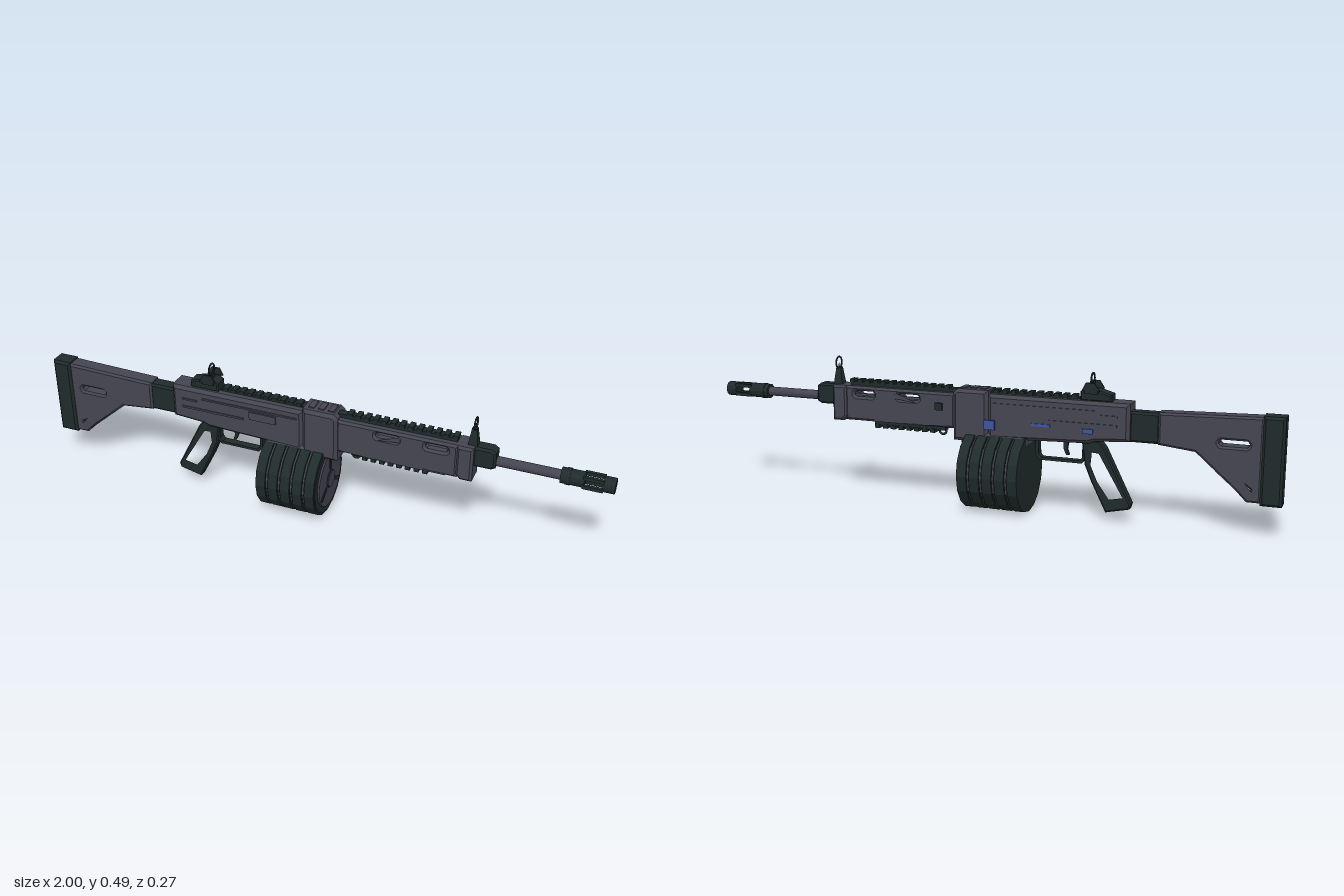
import * as THREE from 'three';

const mat = (name, color) => {
  const m = new THREE.MeshStandardMaterial({ color });
  m.name = name;
  return m;
};

export function createModel() {
  const model = new THREE.Group();
  const slate = mat('slate', 0x444551);
  const dark = mat('dark green grey', 0x202b2b);
  const blue = mat('blue metal', 0x3f549c);

  const add = (name, geo, m, x = 0, y = 0, z = 0) => {
    const mesh = new THREE.Mesh(geo, m);
    mesh.name = name;
    mesh.position.set(x, y, z);
    model.add(mesh);
    return mesh;
  };
  // Box given by its x and y limits, half depth and z centre
  const box = (name, m, x0, x1, y0, y1, hz, z = 0) =>
    add(name, new THREE.BoxGeometry(x1 - x0, y1 - y0, hz * 2), m, (x0 + x1) / 2, (y0 + y1) / 2, z);
  // Faceted cylinder lying along x
  const rod = (name, m, x0, x1, r0, r1, y, sides, turn = 0) => {
    const g = new THREE.CylinderGeometry(r1, r0, x1 - x0, sides).rotateY(turn).rotateZ(-Math.PI / 2).toNonIndexed();
    g.computeVertexNormals();
    return add(name, g, m, (x0 + x1) / 2, y);
  };
  // Side profile with optional holes, extruded through z with chamfered edges
  const plate = (name, m, pts, hz, bevel = 0, holes = [], z = 0) => {
    const toV = (list) => list.map(([x, y]) => new THREE.Vector2(x, y));
    const shape = new THREE.Shape(toV(pts));
    holes.forEach((h) => shape.holes.push(new THREE.Path(toV(h))));
    const g = new THREE.ExtrudeGeometry(shape, {
      depth: 2 * (hz - bevel), bevelEnabled: bevel > 0, bevelSize: bevel,
      bevelThickness: bevel, bevelOffset: -bevel, bevelSegments: 1,
    });
    g.translate(0, 0, bevel - hz);
    return add(name, g, m, 0, 0, z);
  };
  const rect = (x0, x1, y0, y1) => [[x0, y0], [x1, y0], [x1, y1], [x0, y1]];
  // Slot with pointed, clipped ends
  const slot = (x0, x1, y0, y1, c = 0.007) => [
    [x0 + c, y0], [x1 - c, y0], [x1, y0 + c], [x1, y1 - c],
    [x1 - c, y1], [x0 + c, y1], [x0, y1 - c], [x0, y0 + c]];

  // Stock
  plate('buttPad', dark, rect(-1, -0.932, 0.108, 0.393), 0.034, 0.008);
  plate('stock', slate, [
    [-0.935, 0.115], [-0.89, 0.115], [-0.855, 0.15], [-0.725, 0.262], [-0.605, 0.275],
    [-0.605, 0.38], [-0.935, 0.389]], 0.03, 0.007, [
    slot(-0.893, -0.797, 0.288, 0.309),
    [[-0.9, 0.143], [-0.873, 0.147], [-0.8, 0.208], [-0.81, 0.218], [-0.9, 0.158]]]);
  plate('stockNeck', dark, rect(-0.61, -0.51, 0.276, 0.376), 0.026, 0.007);

  // Receiver
  plate('receiver', slate, [
    [-0.515, 0.278], [-0.4, 0.27], [-0.38, 0.262], [-0.03, 0.25],
    [-0.03, 0.402], [-0.515, 0.402]], 0.043, 0.011);
  plate('receiverFront', slate, [
    [-0.165, 0.236], [0.095, 0.236], [0.095, 0.4], [0.08, 0.413],
    [-0.03, 0.413], [-0.03, 0.27], [-0.165, 0.27]], 0.046, 0.011);
  box('magazineNeck', dark, -0.13, 0.075, 0.225, 0.262, 0.016);
  box('portCover', slate, -0.222, -0.125, 0.333, 0.362, 0.007, 0.042);
  for (const s of [-1, 1]) {
    box('receiverRib', slate, -0.475, -0.245, 0.324, 0.331, 0.003, s * 0.044);
    box('receiverRib', slate, -0.4, -0.05, 0.368, 0.374, 0.003, s * 0.044);
    box('receiverRib', slate, -0.475, -0.42, 0.355, 0.361, 0.003, s * 0.044);
  }
  // Blue controls on the back side
  box('chargingStem', slate, -0.055, -0.032, 0.295, 0.31, 0.012, -0.05);
  box('chargingHandle', blue, -0.063, -0.025, 0.287, 0.319, 0.005, -0.063);
  box('boltStrip', blue, -0.25, -0.185, 0.307, 0.316, 0.004, -0.043);
  box('selector', blue, -0.395, -0.36, 0.296, 0.312, 0.004, -0.044);

  // Handguard with see-through slots
  const slots = [];
  for (const [x0, x1] of [[0.225, 0.305], [0.32, 0.38], [0.395, 0.47]])
    for (const y of [0.294, 0.333, 0.369]) slots.push(slot(x0, x1, y - 0.01, y + 0.01, 0.006));
  plate('handguard', slate, rect(0.09, 0.505, 0.274, 0.395), 0.039, 0.008, slots);
  plate('handguardCap', slate, [
    [0.5, 0.288], [0.515, 0.27], [0.555, 0.27], [0.555, 0.395], [0.5, 0.395]], 0.041, 0.008);
  const loop = add('slingLoop', new THREE.TorusGeometry(0.013, 0.004, 6, 12), dark, 0.15, 0.256, 0);
  loop.scale.z = 1.4;
  box('handguardPin', dark, 0.135, 0.16, 0.335, 0.36, 0.006, -0.042);

  // Toothed rails
  box('topRail', dark, -0.34, 0.495, 0.39, 0.408, 0.014);
  for (let x = -0.33; x < 0.49; x += 0.03) {
    if (x > -0.04 && x < 0.09) continue;
    box('topRailTooth', dark, x, x + 0.017, 0.404, 0.416, 0.017);
  }
  for (let i = 0; i < 3; i++) box('receiverTopTooth', slate, -0.015 + i * 0.035, 0.005 + i * 0.035, 0.41, 0.417, 0.022);
  box('lowerRail', dark, 0.135, 0.405, 0.258, 0.278, 0.013);
  for (let x = 0.175; x < 0.4; x += 0.03) box('lowerRailTooth', dark, x, x + 0.017, 0.248, 0.262, 0.016);

  // Gas block, barrel and muzzle
  plate('gasBlock', dark, [
    [0.55, 0.322], [0.61, 0.322], [0.625, 0.33], [0.625, 0.385], [0.61, 0.395], [0.55, 0.395]], 0.025, 0.007);
  rod('barrel', slate, 0.1, 0.86, 0.0165, 0.0165, 0.347, 12);
  rod('muzzleCollar', dark, 0.83, 0.905, 0.026, 0.026, 0.347, 12);
  rod('muzzleBand', dark, 0.845, 0.86, 0.028, 0.028, 0.347, 12);
  rod('muzzleTip', dark, 0.962, 1, 0.026, 0.026, 0.347, 12);
  rod('bore', slate, 0.995, 1.0005, 0.013, 0.013, 0.347, 12);
  for (const sy of [-1, 1]) for (const sz of [-1, 1])
    box('muzzleBar', dark, 0.9, 0.965, 0.347 + sy * 0.016 - 0.006, 0.347 + sy * 0.016 + 0.006, 0.006, sz * 0.016);

  // Sights: ring on a tapered base with a thin post
  const ring = (name, x) => add(name, new THREE.TorusGeometry(0.0205, 0.003, 6, 20).rotateY(Math.PI / 2), dark, x, 0.469, 0);
  const sightBase = new THREE.CylinderGeometry(0.012, 0.024, 0.065, 4, 1).rotateY(Math.PI / 4).toNonIndexed();
  sightBase.computeVertexNormals();
  add('frontSightBase', sightBase, dark, 0.545, 0.42, 0);
  ring('frontSightRing', 0.547);
  add('frontSightPost', new THREE.ConeGeometry(0.004, 0.03, 6), dark, 0.547, 0.458, 0);
  plate('rearSightBase', dark, [
    [-0.45, 0.4], [-0.345, 0.4], [-0.345, 0.43], [-0.36, 0.437], [-0.405, 0.437], [-0.45, 0.424]], 0.027, 0.005);
  for (const s of [-1, 1]) {
    plate('rearSightEar', dark, [
      [-0.412, 0.435], [-0.352, 0.435], [-0.365, 0.461], [-0.395, 0.461]], 0.003, 0, [], s * 0.031);
    box('rearSightArm', dark, -0.405, -0.36, 0.425, 0.438, 0.005, s * 0.029);
  }
  box('rearSightStem', dark, -0.388, -0.372, 0.43, 0.45, 0.008);
  ring('rearSightRing', -0.38);

  // Open grip, trigger and guard
  plate('grip', dark, [
    [-0.43, 0.245], [-0.41, 0.27], [-0.35, 0.27], [-0.362, 0.185], [-0.385, 0.13],
    [-0.435, 0.03], [-0.515, 0.048], [-0.52, 0.065]], 0.02, 0.005, [[
    [-0.413, 0.232], [-0.382, 0.235], [-0.378, 0.185], [-0.402, 0.13], [-0.445, 0.07], [-0.5, 0.083]]]);
  plate('triggerGuard', dark, [
    [-0.362, 0.275], [-0.362, 0.205], [-0.35, 0.187], [-0.205, 0.187], [-0.19, 0.205], [-0.19, 0.275]], 0.013, 0, [[
    [-0.352, 0.265], [-0.352, 0.208], [-0.343, 0.196], [-0.21, 0.196], [-0.2, 0.208], [-0.2, 0.265]]]);
  plate('trigger', dark, [
    [-0.305, 0.27], [-0.298, 0.23], [-0.305, 0.21], [-0.295, 0.209], [-0.286, 0.23], [-0.283, 0.27]], 0.006);

  // Drum magazine with bands
  const cy = 0.135;
  rod('drum', dark, -0.163, 0.05, 0.127, 0.127, cy, 16);
  for (let i = 0; i < 5; i++) {
    const x = -0.165 + i * 0.0445;
    rod('drumBand', dark, x, x + 0.034, 0.134, 0.134, cy, 16);
  }
  for (let i = 0; i < 4; i++) {
    const x = -0.131 + i * 0.0445;
    rod('drumSeam', slate, x + 0.003, x + 0.0075, 0.1305, 0.1305, cy, 16);
  }
  rod('drumFace', slate, 0.04, 0.056, 0.102, 0.102, cy, 16);
  rod('drumHubRim', dark, 0.05, 0.06, 0.0325, 0.0325, cy, 20);
  rod('drumHub', slate, 0.05, 0.062, 0.03, 0.03, cy, 20);
  for (let i = 0; i < 3; i++) {
    const a = Math.PI / 2 + (i * Math.PI * 2) / 3;
    const spoke = add('drumSpoke', new THREE.BoxGeometry(0.006, 0.052, 0.013), dark,
      0.056, cy + Math.sin(a) * 0.067, Math.cos(a) * 0.067);
    spoke.rotation.x = Math.PI / 2 - a;
  }
  return model;
}
